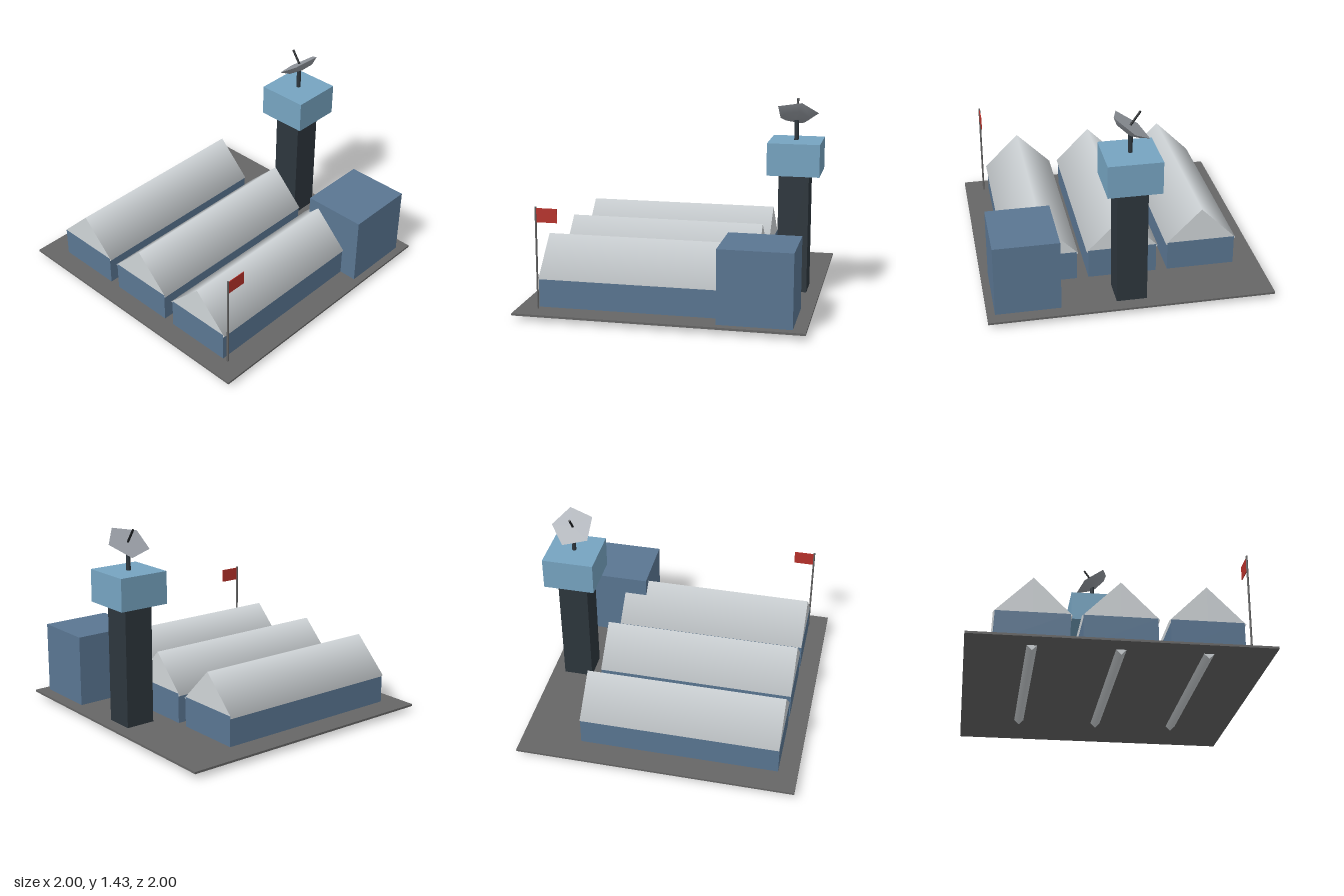
import * as THREE from 'three';

function mat(name, color, side = THREE.FrontSide) {
  const m = new THREE.MeshStandardMaterial({ color, side });
  m.name = name;
  return m;
}

export function createModel() {
  const root = new THREE.Group();
  root.name = 'airbase';

  const ground = mat('asphalt grey', 0x666666);
  const wall = mat('wall blue', 0x5a7692);
  const roofMat = mat('roof silver', 0xcfd4d7);
  const dark = mat('tower dark', 0x2d363d);
  const glass = mat('cab light blue', 0x76a4c1);
  const dishMat = mat('dish grey', 0x979ca3, THREE.DoubleSide);
  const black = mat('feed black', 0x1c1f22);
  const red = mat('flag red', 0xb8322b);

  const add = (name, geometry, material, x, y, z, parent = root) => {
    const mesh = new THREE.Mesh(geometry, material);
    mesh.name = name;
    mesh.position.set(x, y, z);
    parent.add(mesh);
    return mesh;
  };
  // Box given by its extents on each axis
  const box = (name, material, [x0, x1], [y0, y1], [z0, z1], parent) =>
    add(name, new THREE.BoxGeometry(x1 - x0, y1 - y0, z1 - z0), material,
      (x0 + x1) / 2, (y0 + y1) / 2, (z0 + z1) / 2, parent);

  box('basePlate', ground, [-1, 1], [0.035, 0.05], [-1, 1]);

  // Three hangars: low walls with a four-sided barrel roof, smooth shaded
  for (const z of [-0.572, 0, 0.572]) {
    const hangar = new THREE.Group();
    hangar.name = 'hangar';
    hangar.position.z = z;
    root.add(hangar);
    box('hangarWalls', wall, [-0.8605, 0.5695], [0.05, 0.266], [-0.245, 0.245], hangar);
    const roof = add('hangarRoof', new THREE.CylinderGeometry(0.256, 0.256, 1.428, 4),
      roofMat, -0.1455, 0.257, 0, hangar);
    roof.rotation.z = Math.PI / 2;
  }

  box('office', wall, [0.4, 0.91], [0.05, 0.565], [0.49, 0.945]);

  // Control tower
  box('towerShaft', dark, [0.69, 0.905], [0.05, 0.912], [-0.106, 0.106]);
  box('towerCab', glass, [0.615, 0.985], [0.91, 1.14], [-0.185, 0.185]);
  add('dishMast', new THREE.CylinderGeometry(0.016, 0.016, 0.16, 8), dark, 0.8, 1.215, 0);

  // Five-sided radar dish, tilted up and to the back
  const dish = new THREE.Group();
  dish.name = 'radarDish';
  dish.position.set(0.8, 1.335, 0);
  dish.rotation.x = -0.61;
  root.add(dish);
  const profile = [[0, -0.052], [0.095, -0.038], [0.155, 0]].map(p => new THREE.Vector2(...p));
  add('dishBowl', new THREE.LatheGeometry(profile, 5, Math.PI / 2), dishMat, 0, 0, 0, dish);
  const face = new THREE.CircleGeometry(0.155, 5).rotateX(-Math.PI / 2);
  add('dishFace', face, dishMat, 0, 0, 0, dish);
  add('dishFeed', new THREE.CylinderGeometry(0.008, 0.008, 0.12, 8), black, 0, 0.053, 0, dish);

  // Flag on its pole
  add('flagPole', new THREE.CylinderGeometry(0.007, 0.007, 0.717, 8), ground, -0.857, 0.4085, 0.857);
  box('flag', red, [-0.852, -0.706], [0.66, 0.758], [0.8545, 0.8595]);

  return root;
}
